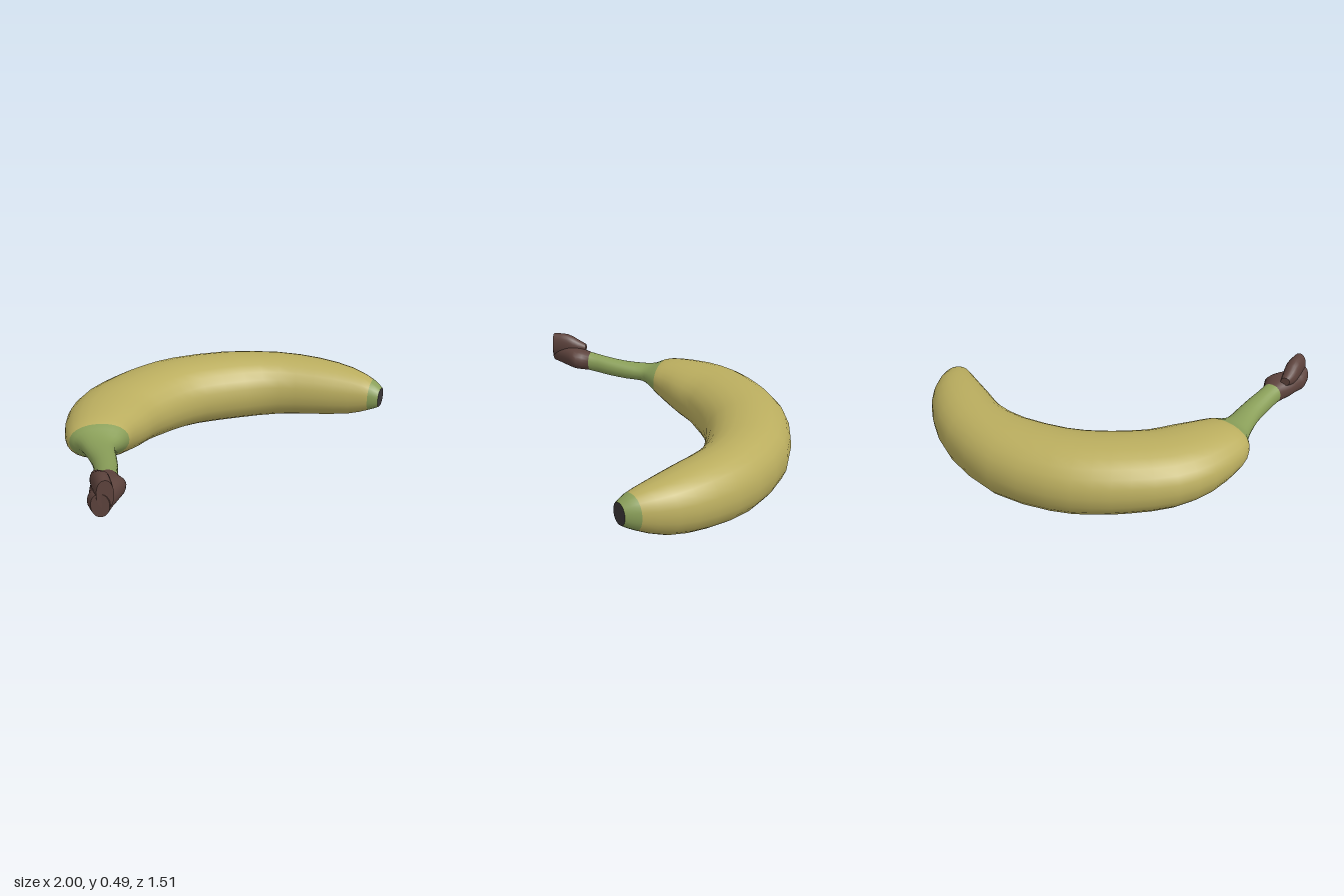
import * as THREE from 'three';

const SIDES = 24, SUB = 2;

const paint = (name, color) => {
  const m = new THREE.MeshStandardMaterial({ color });
  m.name = name;
  return m;
};

// Smooth rows of points through sections [outerX, outerZ, innerX, innerZ, bottomY, topY]
function makeRows(sections) {
  const curve = (f) => new THREE.CatmullRomCurve3(sections.map(f), false, 'catmullrom', 0.5);
  const outer = curve((s) => new THREE.Vector3(s[0], 0, s[1]));
  const inner = curve((s) => new THREE.Vector3(s[2], 0, s[3]));
  const heights = curve((s) => new THREE.Vector3(s[4], s[5], 0));
  const count = (sections.length - 1) * SUB;
  const soft = (v) => Math.sign(v) * Math.abs(v) ** 0.93;
  const rows = [];
  for (let i = 0; i <= count; i++) {
    const t = i / count;
    const o = outer.getPoint(t), n = inner.getPoint(t), h = heights.getPoint(t);
    const mid = o.clone().add(n).multiplyScalar(0.5).setY((h.x + h.y) / 2);
    const axis = o.clone().sub(n).multiplyScalar(0.5);
    const row = [];
    for (let j = 0; j < SIDES; j++) {
      const a = (j / SIDES) * Math.PI * 2;
      const p = mid.clone().addScaledVector(axis, soft(Math.cos(a)));
      p.y += soft(Math.sin(a)) * (h.y - h.x) / 2;
      row.push(p);
    }
    rows.push(row);
  }
  return rows;
}

// Skin over the rows, cut into named coloured parts that share their normals
function addSkin(group, rows, parts) {
  const geo = new THREE.BufferGeometry().setFromPoints(rows.flat());
  const quads = (from, to) => {
    const index = [];
    for (let i = from; i < to; i++) {
      for (let j = 0; j < SIDES; j++) {
        const k = (j + 1) % SIDES;
        const a = i * SIDES + j, b = i * SIDES + k, c = a + SIDES, d = b + SIDES;
        index.push(a, c, b, b, c, d);
      }
    }
    return index;
  };
  geo.setIndex(quads(0, rows.length - 1));
  geo.computeVertexNormals();
  for (const [name, material, from, to] of parts) {
    const piece = geo.clone();
    piece.setIndex(quads(from * SUB, to * SUB));
    const mesh = new THREE.Mesh(piece, material);
    mesh.name = name;
    group.add(mesh);
  }
}

// Fan that closes one end of a skin
function addCap(group, name, material, row, atStart) {
  const centre = row.reduce((s, p) => s.add(p), new THREE.Vector3()).divideScalar(row.length);
  const geo = new THREE.BufferGeometry().setFromPoints([centre, ...row]);
  const index = [];
  for (let j = 0; j < SIDES; j++) {
    const a = j + 1, b = ((j + 1) % SIDES) + 1;
    index.push(0, ...(atStart ? [a, b] : [b, a]));
  }
  geo.setIndex(index);
  geo.computeVertexNormals();
  const mesh = new THREE.Mesh(geo, material);
  mesh.name = name;
  group.add(mesh);
}

export function createModel() {
  const group = new THREE.Group();
  group.name = 'banana';
  const yellow = paint('peelYellow', 0xbbae5f);
  const green = paint('unripeGreen', 0x8a9f59);
  const brown = paint('stalkBrown', 0x5c423c);
  const dark = paint('tipDark', 0x3b3738);

  // From the blossom tip, round the bend, to the cut stalk
  const fruit = makeRows([
    [0.995, 0.03, 0.915, 0.095, 0.165, 0.28],
    [0.99, -0.05, 0.86, 0.065, 0.13, 0.315],
    [0.94, -0.22, 0.77, 0.0, 0.075, 0.35],
    [0.82, -0.4, 0.6, -0.12, 0.04, 0.375],
    [0.6, -0.59, 0.43, -0.235, 0.015, 0.387],
    [0.25, -0.74, 0.25, -0.285, 0.0, 0.395],
    [-0.1, -0.76, 0.0, -0.29, 0.015, 0.405],
    [-0.32, -0.71, -0.16, -0.25, 0.03, 0.41],
    [-0.5, -0.63, -0.27, -0.2, 0.045, 0.412],
    [-0.7, -0.5, -0.36, -0.15, 0.065, 0.412],
    [-0.83, -0.33, -0.45, -0.07, 0.095, 0.41],
    [-0.9, -0.12, -0.54, 0.0, 0.14, 0.4],
    [-0.9, -0.03, -0.6, 0.06, 0.185, 0.385],
    [-0.87, 0.03, -0.66, 0.11, 0.225, 0.36],
    [-0.86, 0.12, -0.705, 0.15, 0.245, 0.35],
    [-0.86, 0.25, -0.73, 0.25, 0.25, 0.357],
    [-0.88, 0.36, -0.76, 0.37, 0.26, 0.37],
    [-0.91, 0.48, -0.8, 0.5, 0.275, 0.39],
    [-0.955, 0.55, -0.787, 0.58, 0.28, 0.405],
    [-0.98, 0.62, -0.82, 0.63, 0.285, 0.41],
    [-1.0, 0.66, -0.875, 0.69, 0.29, 0.41],
    [-1.0, 0.72, -0.92, 0.75, 0.3, 0.42],
  ]);
  addSkin(group, fruit, [
    ['greenTip', green, 0, 1],
    ['peel', yellow, 1, 12],
    ['stem', green, 12, 17],
    ['stalkEnd', brown, 17, 21],
  ]);
  addCap(group, 'blossomTip', dark, fruit[0], true);
  addCap(group, 'stalkCut', brown, fruit[fruit.length - 1], false);

  // Torn lobe standing on top of the stalk end
  const lobe = makeRows([
    [-0.94, 0.53, -0.89, 0.53, 0.38, 0.425],
    [-0.96, 0.58, -0.885, 0.58, 0.36, 0.45],
    [-0.97, 0.65, -0.88, 0.65, 0.35, 0.485],
    [-0.975, 0.735, -0.895, 0.745, 0.34, 0.487],
  ]);
  addSkin(group, lobe, [['stalkLobe', brown, 0, 3]]);
  addCap(group, 'lobeBack', brown, lobe[0], true);
  addCap(group, 'lobeFront', brown, lobe[lobe.length - 1], false);

  return group;
}
